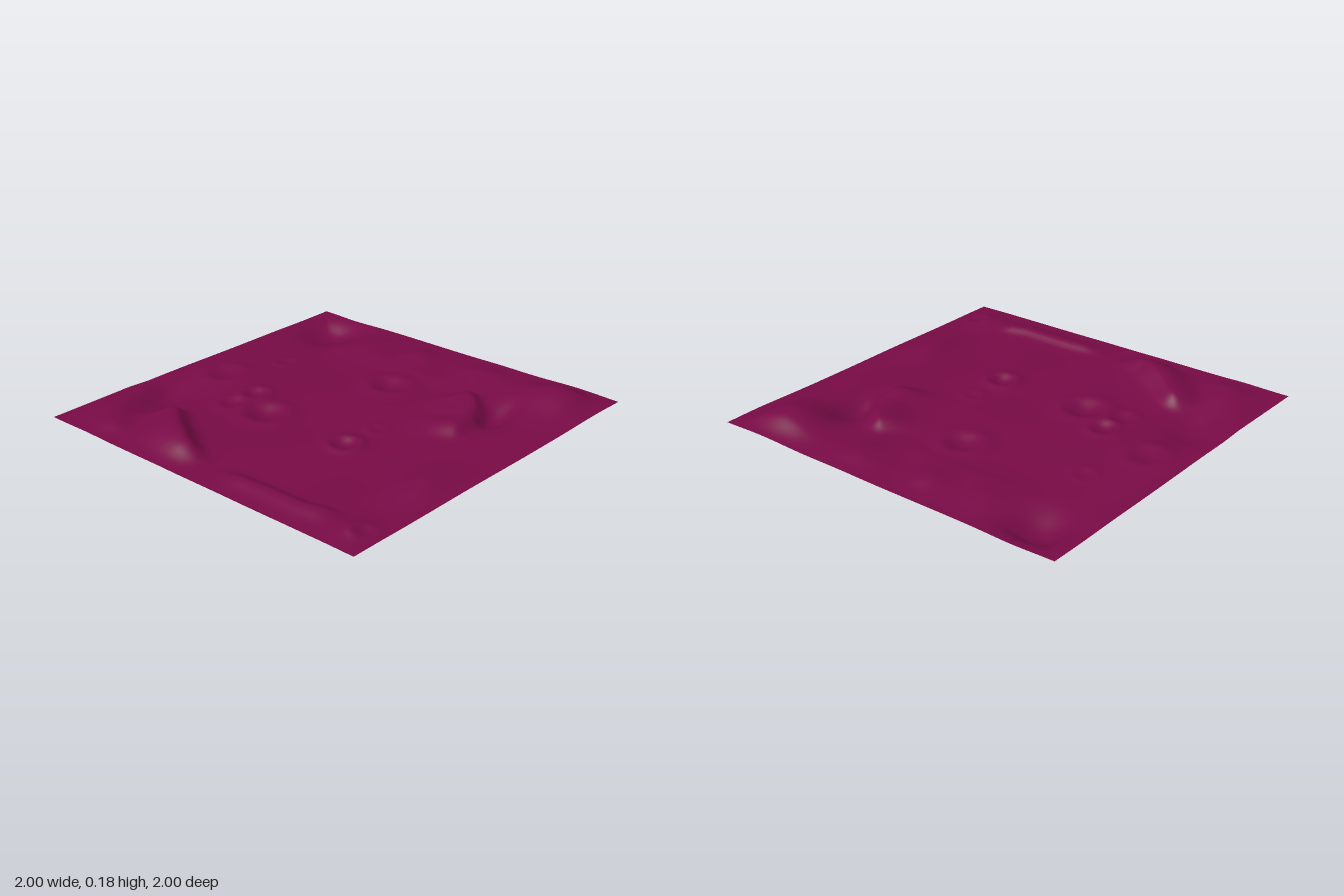
import * as THREE from 'three';

// Broad hills and hollows: x, z, height, radius in x, radius in z
const swells = [
  [0.79, 0.75, 0.078, 0.2, 0.2],
  [0.8, -0.77, -0.068, 0.16, 0.15],
  [0.5, -0.8, -0.025, 0.25, 0.14],
  [-0.42, -0.8, -0.045, 0.2, 0.13],
  [0.48, 0.62, -0.055, 0.17, 0.09],
  [-0.42, 0.56, -0.012, 0.25, 0.16],
  [0.2, 0.82, 0.012, 0.35, 0.1],
  [-0.33, 0.82, 0.03, 0.18, 0.1],
  [-0.78, -0.38, 0.025, 0.13, 0.17],
  [-0.85, 0.84, 0.018, 0.1, 0.09],
  [0.8, -0.13, 0.025, 0.1, 0.09],
  [0.82, 0.27, 0.025, 0.14, 0.14],
  [0.78, -0.45, 0.015, 0.12, 0.12],
];

// Ridges: path, height, width on the left of the path, width on its right
const ridges = [
  [[[-0.53, -0.68], [-0.6, -0.55], [-0.7, -0.42], [-0.8, -0.27], [-0.88, -0.05]], 0.055, 0.06, 0.12],
  [[[-0.86, 0], [-0.84, 0.3], [-0.84, 0.55], [-0.78, 0.78]], 0.028, 0.04, 0.09],
  [[[0.1, 0.62], [0.22, 0.57], [0.33, 0.58], [0.45, 0.51], [0.54, 0.4], [0.6, 0.32]], 0.045, 0.14, 0.05],
  [[[0.62, -0.7], [0.64, -0.2], [0.62, 0.3]], 0.008, 0.1, 0.06],
  [[[-1, -0.6], [-0.7, -0.84], [-0.35, -0.98]], 0.025, 0.13, 0.09],
];

// Craters: x, z, rim radius, rim height, bowl depth
const craters = [
  [-0.25, -0.26, 0.12, 0.012, 0.024],
  [-0.12, -0.46, 0.075, 0.011, 0.011],
  [-0.28, -0.47, 0.075, 0.007, 0.008],
  [-0.25, 0.27, 0.08, 0.014, 0.015],
  [0.42, -0.02, 0.11, 0.01, 0.018],
  [-0.03, -0.78, 0.11, 0.008, 0.012],
  [0.3, -0.65, 0.06, 0.004, 0.004],
  [-0.02, 0.28, 0.05, 0.004, 0.003],
  [-0.82, 0.9, 0.06, 0.006, 0.008],
];

const { clamp, smoothstep } = THREE.MathUtils;
const bell = (t) => Math.exp(-t * t);

// Height of a ridge: its two flanks differ in width and it fades at both ends
function ridgeHeight(x, z, [path, peak, left, right]) {
  const count = path.length - 1;
  let best = Infinity, side = 1, along = 0;
  for (let i = 0; i < count; i++) {
    const [ax, az] = path[i], [bx, bz] = path[i + 1];
    const ux = bx - ax, uz = bz - az;
    const t = clamp(((x - ax) * ux + (z - az) * uz) / (ux * ux + uz * uz), 0, 1);
    const d = Math.hypot(x - ax - t * ux, z - az - t * uz);
    if (d < best) {
      best = d;
      side = ux * (z - az) - uz * (x - ax);
      along = (i + t) / count;
    }
  }
  const fade = smoothstep(Math.min(along, 1 - along), 0, 0.22);
  return peak * fade * bell(best / (side > 0 ? right : left));
}

function height(x, z) {
  let h = 0;
  for (const [cx, cz, a, rx, rz] of swells) h += a * bell(Math.hypot((x - cx) / rx, (z - cz) / rz));
  for (const ridge of ridges) h += ridgeHeight(x, z, ridge);
  for (const [cx, cz, r, rim, depth] of craters) {
    const d = Math.hypot(x - cx, z - cz) / r;
    h += rim * bell((d - 1) / 0.4) - depth * bell(d / 0.65);
  }
  // Fine unevenness
  h += 0.003 * Math.sin(7 * x + 3 * z) * Math.cos(6 * z - 2 * x);
  // Flatten towards the border
  const edge = 1 - Math.max(Math.abs(x), Math.abs(z));
  h *= 0.35 + 0.65 * smoothstep(edge, 0, 0.15);
  // Gently twisted base level
  return 0.097 - 0.004 * x + 0.013 * z + 0.013 * x * z + h;
}

export function createModel() {
  const group = new THREE.Group();
  group.name = 'terrain';

  const plumSoil = new THREE.MeshStandardMaterial({ color: 0x780b46, side: THREE.DoubleSide });
  plumSoil.name = 'plumSoil';

  // Ground sheet shaped by the height rule
  const sheet = new THREE.PlaneGeometry(2, 2, 130, 130).rotateX(-Math.PI / 2);
  const p = sheet.attributes.position;
  for (let i = 0; i < p.count; i++) p.setY(i, height(p.getX(i), p.getZ(i)));
  sheet.computeBoundingBox();
  sheet.translate(0, -sheet.boundingBox.min.y, 0);
  sheet.computeVertexNormals();

  const ground = new THREE.Mesh(sheet, plumSoil);
  ground.name = 'ground';
  group.add(ground);
  return group;
}
